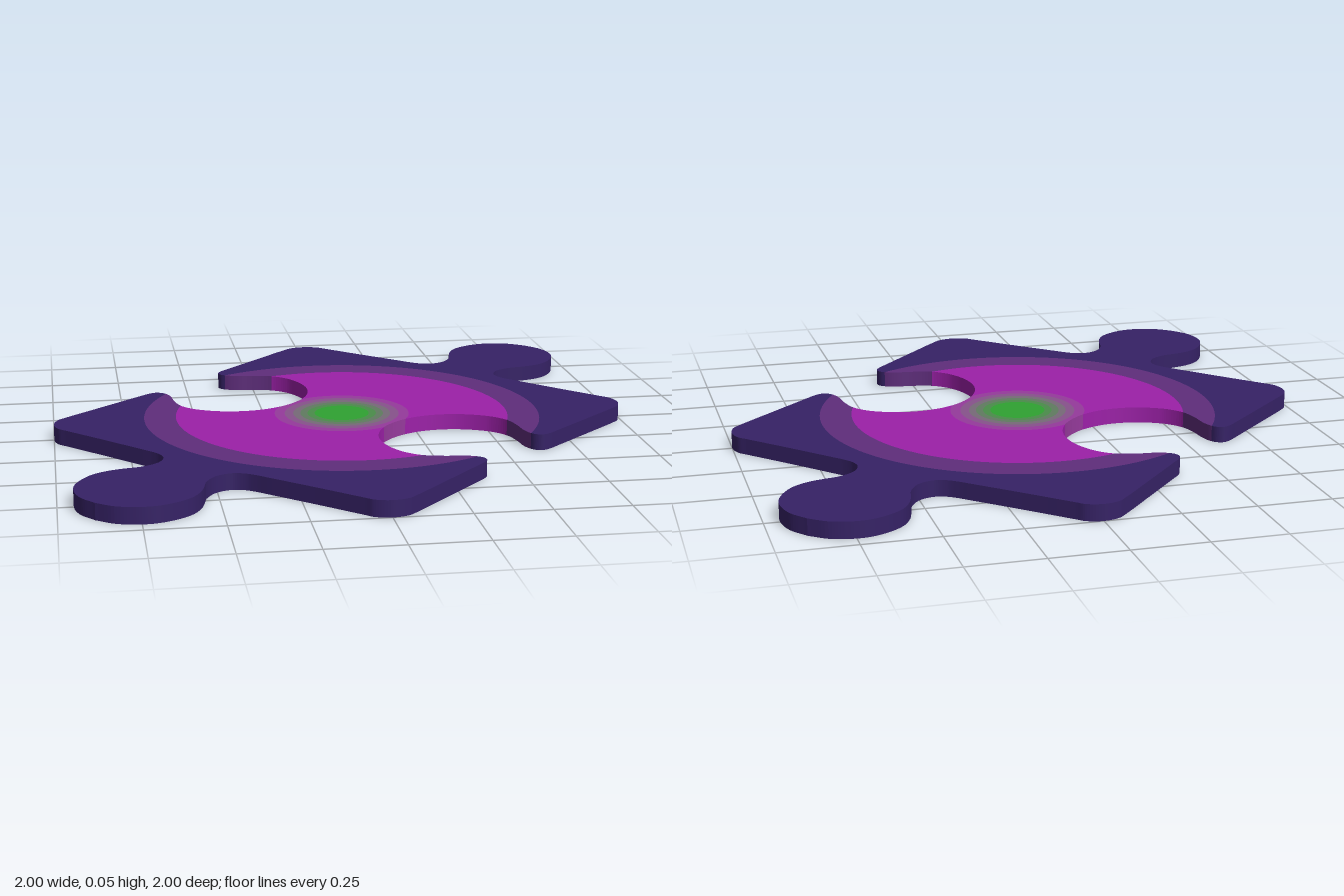
import * as THREE from 'three';

const THICK = 0.055;

// Quarter outline (u along the tab axis, v along the socket axis), from socket bottom to tab tip
const QUARTER = [
  // lip of the socket
  [0.262, 0.516], [0.226, 0.58], [0.19, 0.625], [0.172, 0.658], [0.167, 0.688], [0.179, 0.711], [0.21, 0.721],
  // straight edge and rounded corner
  [0.25, 0.723], [0.45, 0.731], [0.62, 0.737], [0.66, 0.735], [0.707, 0.707], [0.735, 0.66], [0.737, 0.62],
  [0.742, 0.45], [0.75, 0.26], [0.752, 0.215],
  // neck and rounded tab
  [0.759, 0.178], [0.781, 0.143], [0.83, 0.122], [0.894, 0.134], [0.945, 0.166], [0.989, 0.189],
  [1.04, 0.202], [1.087, 0.199], [1.138, 0.184], [1.179, 0.161], [1.216, 0.122], [1.244, 0.07], [1.255, 0],
];

function quarterOutline() {
  const pts = [];
  // round socket
  for (let i = 0; i < 10; i++) {
    const a = -Math.PI / 2 + (i / 10) * 1.6;
    pts.push(new THREE.Vector3(0.27 * Math.cos(a), 0.488 + 0.27 * Math.sin(a), 0));
  }
  QUARTER.forEach(([u, v]) => pts.push(new THREE.Vector3(u, v, 0)));
  const curve = new THREE.CatmullRomCurve3(pts, false, 'centripetal');
  return curve.getPoints(240).map((p) => new THREE.Vector2(Math.max(p.x, 0), Math.max(p.y, 0)));
}

const outline = quarterOutline();

// Angle at which a circle of radius r meets the socket (a right angle when it misses it)
function meetAngle(r) {
  if (r <= outline[0].length()) return Math.PI / 2;
  const i = outline.findIndex((p) => p.length() > r);
  const a = outline[i - 1], b = outline[i];
  const t = (r - a.length()) / (b.length() - a.length());
  return a.clone().lerp(b, t).angle();
}

function arc(r, from, to) {
  const pts = [];
  for (let i = 0; i <= 64; i++) {
    const a = from + ((to - from) * i) / 64;
    pts.push(new THREE.Vector2(r * Math.cos(a), r * Math.sin(a)));
  }
  return pts;
}

// Half of the piece between two radii; no outer radius means out to the edge
function bandGeometry(r0, r1) {
  const a0 = meetAngle(r0);
  const inner = r0 > 0 ? arc(r0, -a0, a0) : [new THREE.Vector2(0, 0)];
  const start = outline.findIndex((p) => p.length() > r0 + 1e-4);
  let end = outline.length;
  if (r1) end = outline.findIndex((p) => p.length() > r1 - 1e-4);
  const side = outline.slice(start, Math.max(end, start));
  const mirrored = side.map((p) => new THREE.Vector2(p.x, -p.y)).reverse();
  if (!r1) mirrored.shift();
  const outer = r1 ? arc(r1, meetAngle(r1), -meetAngle(r1)) : [];
  const shape = new THREE.Shape([...inner, ...side, ...outer, ...mirrored]);
  const geo = new THREE.ExtrudeGeometry(shape, { depth: THICK, bevelEnabled: false });
  return geo.rotateX(-Math.PI / 2);
}

export function createModel() {
  const group = new THREE.Group();
  group.name = 'puzzlePiece';

  // Concentric colours, from the centre outwards
  const bands = [
    ['greenCentre', 'green', 0x30a232, 0, 0.095],
    ['innerGlow', 'mutedGreen', 0x4b8d4b, 0.095, 0.12],
    ['glowRing', 'greyGreen', 0x607c60, 0.12, 0.145],
    ['middleGlow', 'greyMauve', 0x776a78, 0.145, 0.17],
    ['softGlow', 'mauve', 0x87528c, 0.17, 0.2],
    ['outerGlow', 'pinkMauve', 0x963a9c, 0.2, 0.235],
    ['magentaDisc', 'magenta', 0x9c20a8, 0.235, 0.58],
    ['violetRing', 'violet', 0x5f2d7c, 0.58, 0.69],
    ['bodyAndTab', 'indigo', 0x362266, 0.69, 0],
  ];

  for (const [name, colourName, color, r0, r1] of bands) {
    const material = new THREE.MeshStandardMaterial({ color });
    material.name = colourName;
    const geometry = bandGeometry(r0, r1);
    // two halves, turned so that the tabs lie on the diagonal
    for (let k = 0; k < 2; k++) {
      const mesh = new THREE.Mesh(geometry, material);
      mesh.name = name + (k ? 'Left' : 'Right');
      mesh.rotation.y = Math.PI / 4 + k * Math.PI;
      group.add(mesh);
    }
  }
  return group;
}
